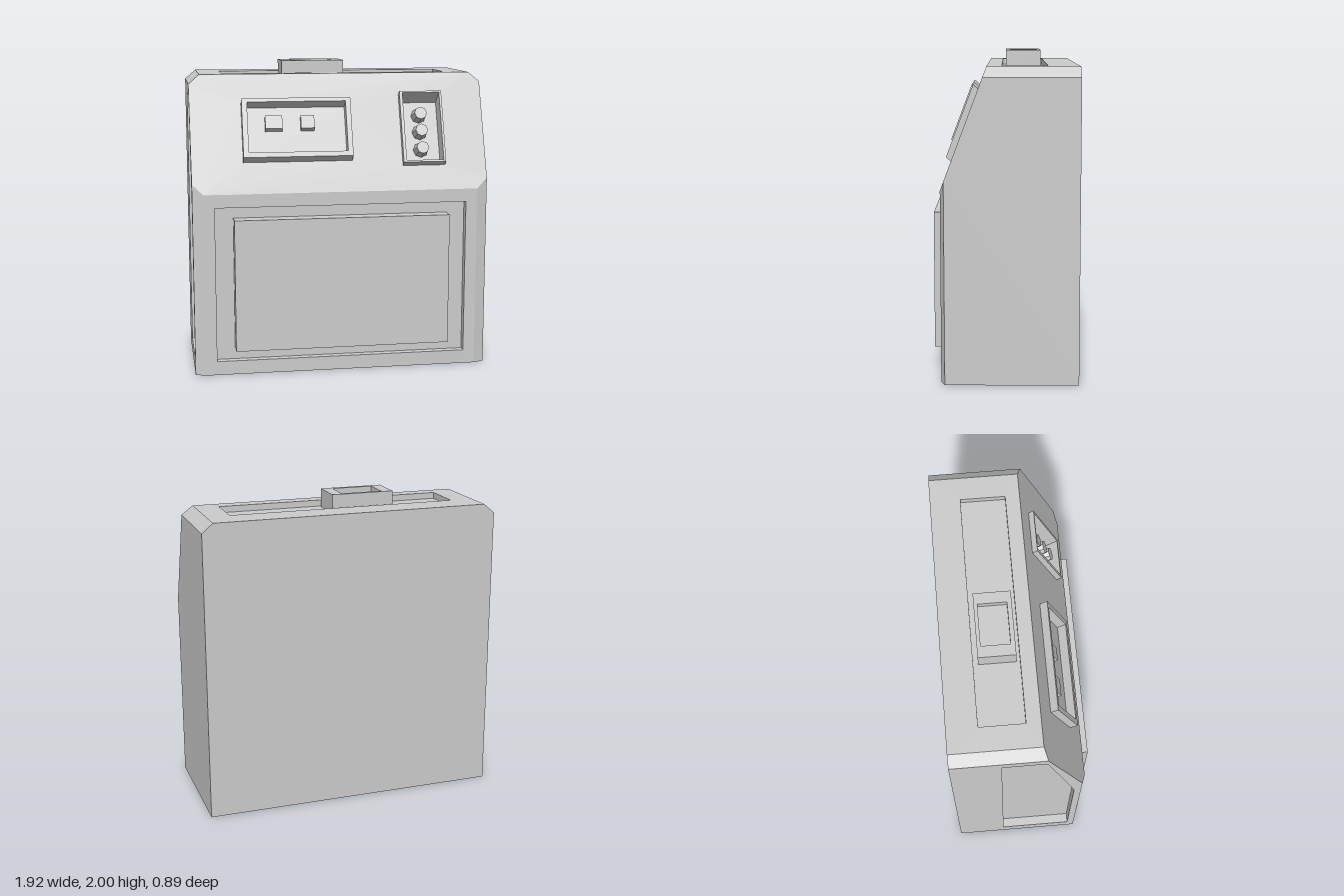
import * as THREE from 'three';

const material = new THREE.MeshStandardMaterial({ color: 0xcccccc, flatShading: true });
const V = (x, y, z) => new THREE.Vector3(x, y, z);
const shift = (pts, d, k = 1) => pts.map(p => p.clone().addScaledVector(d, k));
const centre = pts => pts.reduce((s, p) => s.add(p), V(0, 0, 0)).divideScalar(pts.length);

// Flat polygon with holes, facing along dir, appended to a triangle list
function addPoly(out, pts, dir, holes = []) {
  const n = V(0, 0, 0);
  pts.forEach((p, i) => n.add(p.clone().cross(pts[(i + 1) % pts.length])));
  n.normalize();
  if (n.dot(dir) < 0) n.negate();
  const u = pts[1].clone().sub(pts[0]).normalize();
  const v = n.clone().cross(u);
  const flat = list => list.map(p => new THREE.Vector2(p.dot(u), p.dot(v)));
  const all = [pts, ...holes].flat();
  for (const [a, b, c] of THREE.ShapeUtils.triangulateShape(flat(pts), holes.map(flat))) {
    const facing = all[b].clone().sub(all[a]).cross(all[c].clone().sub(all[a])).dot(n);
    for (const i of facing > 0 ? [a, b, c] : [a, c, b]) out.push(all[i]);
  }
}

// Walls swept from an outline along d; side = 1 faces outward, -1 inward
function addWalls(out, pts, d, side) {
  const mid = centre(pts);
  pts.forEach((p, i) => {
    const q = pts[(i + 1) % pts.length];
    const away = p.clone().add(q).multiplyScalar(0.5).sub(mid).multiplyScalar(side);
    addPoly(out, [p, q, q.clone().add(d), p.clone().add(d)], away);
  });
}

// Recess: inner walls and floor below a hole
function addRecess(out, hole, d) {
  addWalls(out, hole, d, -1);
  addPoly(out, shift(hole, d), d.clone().negate());
}

function toMesh(name, out) {
  const geometry = new THREE.BufferGeometry().setFromPoints(out);
  geometry.computeVertexNormals();
  const mesh = new THREE.Mesh(geometry, material);
  mesh.name = name;
  return mesh;
}

// Block whose outer face is raised by d, with an optional recess of depth vector inset
function block(name, face, d, hole, inset) {
  const out = [];
  addPoly(out, face, d, hole ? [hole] : []);
  addWalls(out, face, d.clone().negate(), 1);
  if (hole) addRecess(out, hole, inset);
  return toMesh(name, out);
}

// Sloped control face of the cabinet
const slopeZ = y => 0.4 - 0.378 * (y - 1.18);
const onSlope = (x0, x1, y0, y1, d) =>
  [[x0, y0], [x1, y0], [x1, y1], [x0, y1]].map(([x, y]) => V(x, y, slopeZ(y - d.y) + d.z));
const flatRect = (x0, x1, z0, z1, y) => [V(x0, y, z0), V(x1, y, z0), V(x1, y, z1), V(x0, y, z1)];

export function createModel() {
  const group = new THREE.Group();

  // Raised control frames on the slope
  const wideD = V(0, 0.038, 0.044), tallD = V(0, 0.027, 0.031);
  const wide = onSlope(-0.63, 0.075, 1.41, 1.773, wideD);
  const tall = onSlope(0.405, 0.685, 1.36, 1.805, tallD);
  group.add(block('displayFrame', wide, wideD,
    onSlope(-0.595, 0.042, 1.44, 1.75, wideD), wideD.clone().multiplyScalar(-1.15)));
  group.add(block('knobFrame', tall, tallD,
    onSlope(0.425, 0.67, 1.372, 1.795, tallD), tallD.clone().multiplyScalar(-2.75)));

  // Cabinet corners for one side
  const corners = s => ({
    frontLow: V(s * 0.89, 0, 0.4), sideLow: V(s * 0.96, 0, 0.375), backLow: V(s * 0.96, 0, -0.44),
    frontMid: V(s * 0.89, 1.18, 0.4), sideMid: V(s * 0.96, 1.246, 0.375),
    sideTop: V(s * 0.96, 1.86, slopeZ(1.86)), top: V(s * 0.89, 1.92, slopeZ(1.92)),
    backSide: V(s * 0.96, 1.86, -0.44), backTop: V(s * 0.89, 1.92, -0.44)
  });
  const L = corners(1), R = corners(-1);
  const pair = (...keys) => [...keys.map(k => L[k]), ...keys.reverse().map(k => R[k])];
  const body = [];
  const middle = V(0, 0.9, 0);
  const facet = (pts, holes) => addPoly(body, pts, centre(pts).sub(middle), holes);

  // Front, top and right side carry recesses
  const frontHole = [V(-0.82, 0.09, 0.4), V(0.815, 0.09, 0.4), V(0.815, 1.095, 0.4), V(-0.82, 1.095, 0.4)];
  const topHole = flatRect(-0.74, 0.74, -0.25, 0.03, 1.92);
  const sideHole = [[0.1, -0.13], [0.1, 0.33], [1.09, 0.33], [1.79, 0.14], [1.79, -0.13]]
    .map(([y, z]) => V(-0.96, y, z));
  facet(pair('frontLow', 'frontMid'), [frontHole]);
  facet(pair('top', 'backTop'), [topHole]);
  addRecess(body, frontHole, V(0, 0, -0.05));
  addRecess(body, topHole, V(0, -0.04, 0));
  addRecess(body, sideHole, V(0.06, 0, 0));

  // Slope, back and base
  facet(pair('frontMid', 'sideMid', 'sideTop', 'top'), [shift(wide, wideD, -1), shift(tall, tallD, -1)]);
  facet(pair('backLow', 'backSide', 'backTop'));
  facet(pair('frontLow', 'sideLow', 'backLow'));

  // Sides and bevels
  for (const c of [L, R]) {
    facet([c.sideLow, c.sideMid, c.sideTop, c.backSide, c.backLow], c === R ? [sideHole] : []);
    facet([c.frontLow, c.sideLow, c.sideMid, c.frontMid]);
    facet([c.sideTop, c.top, c.backTop, c.backSide]);
  }
  group.add(toMesh('cabinet', body));

  // Front door panel
  const door = new THREE.Mesh(new THREE.BoxGeometry(1.395, 0.855, 0.1), material);
  door.name = 'doorPanel';
  door.position.set(-0.003, 0.593, 0.4);
  group.add(door);

  // Hollow block on the lid
  group.add(block('topBlock', flatRect(-0.343, 0.066, -0.22, 0.008, 2), V(0, 0.12, 0),
    flatRect(-0.272, -0.005, -0.197, -0.02, 2), V(0, -0.04, 0)));

  // Square buttons
  const buttonD = V(0, 0.018, 0.021);
  for (const [x0, x1] of [[-0.48, -0.37], [-0.25, -0.163]])
    group.add(block('button', onSlope(x0, x1, 1.582, 1.662, buttonD), buttonD.clone().multiplyScalar(1.6)));

  // Faceted knobs standing on the recess floor
  const tilt = Math.atan2(0.935, 0.354), height = 0.08;
  for (const y of [1.663, 1.557, 1.447]) {
    const knob = new THREE.Mesh(new THREE.CylinderGeometry(0.041, 0.05, height, 8), material);
    knob.name = 'knob';
    const baseY = y - height * 0.354;
    knob.position.set(0.545, baseY + height * 0.177, slopeZ(baseY) - 0.073 + height * 0.4675);
    knob.rotation.x = tilt;
    group.add(knob);
  }
  return group;
}
